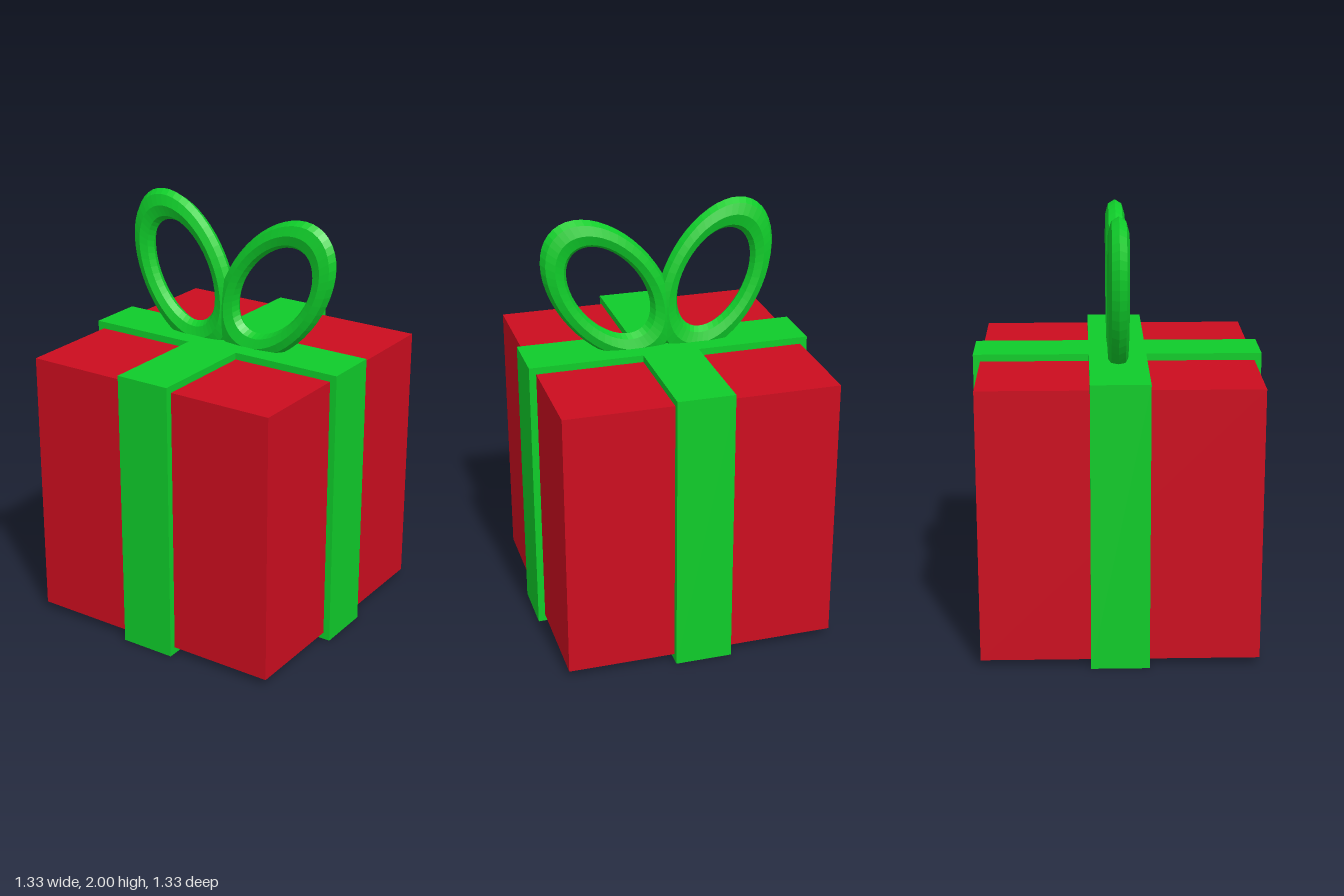
import * as THREE from 'three';

export function createModel() {
  const model = new THREE.Group();
  model.name = 'giftBox';
  const red = new THREE.MeshStandardMaterial({ color: 0xcc0d1f });
  const green = new THREE.MeshStandardMaterial({ color: 0x0fcc2a });
  const greenFacet = new THREE.MeshStandardMaterial({ color: 0x0fcc2a, flatShading: true });

  const outer = 1.33;   // outside size of the ribbon bands
  const inner = 1.265;  // size of the box
  const band = 0.265;   // ribbon width

  const add = (name, geometry, material, x, y, z) => {
    const mesh = new THREE.Mesh(geometry, material);
    mesh.name = name;
    mesh.position.set(x, y, z);
    model.add(mesh);
    return mesh;
  };

  // Box
  add('box', new THREE.BoxGeometry(inner, inner, inner), red, 0, outer / 2, 0);

  // Two ribbon bands wrapped around the box, crossing on top and underneath
  add('ribbonAcross', new THREE.BoxGeometry(outer, outer, band), green, 0, outer / 2, 0);
  add('ribbonFrontToBack', new THREE.BoxGeometry(band, outer, outer), green, 0, outer / 2, 0);

  // Bow: two stretched octagonal rings leaning outward at different angles
  const ring = new THREE.TorusGeometry(0.198, 0.046, 8, 48);
  ring.scale(1, 1.645, 1);
  const loops = [
    ['rightBowLoop', -0.243, 1.625, 26.5],
    ['leftBowLoop', 0.257, 1.61, -38.5],
  ];
  for (const [name, x, y, tilt] of loops) {
    add(name, ring, greenFacet, x, y, 0).rotation.z = THREE.MathUtils.degToRad(tilt);
  }

  return model;
}
